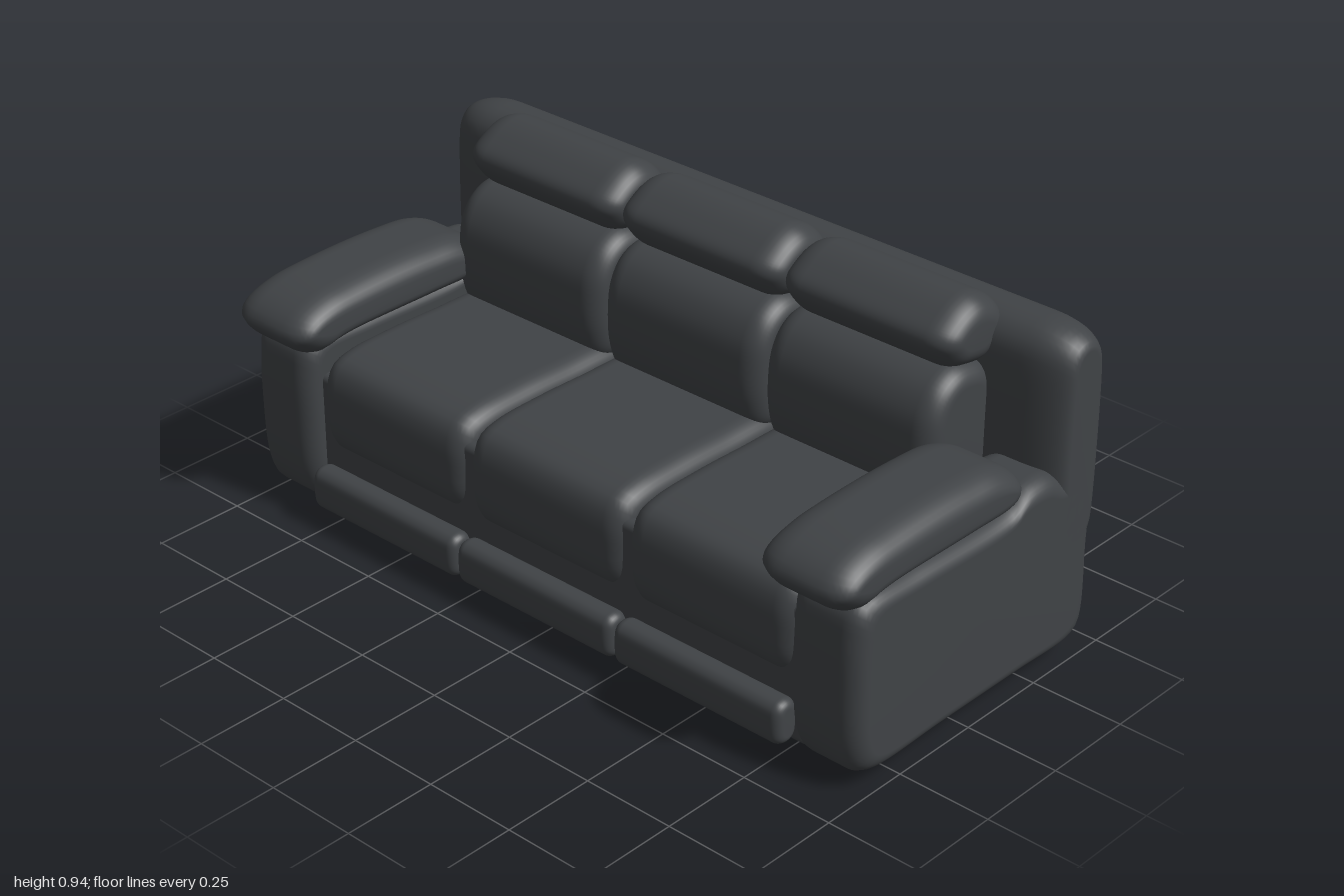
import * as THREE from 'three';
import { RoundedBoxGeometry } from 'three/addons/geometries/RoundedBoxGeometry.js';

const leather = new THREE.MeshStandardMaterial({ color: 0x404346 });
const black = new THREE.MeshStandardMaterial({ color: 0x131314 });

// Counter-clockwise rounded rectangle in (z, y)
function roundRect(z0, z1, y0, y1, r) {
  const pts = [];
  const corners = [[z1 - r, y0 + r], [z1 - r, y1 - r], [z0 + r, y1 - r], [z0 + r, y0 + r]];
  corners.forEach(([z, y], c) => {
    for (let k = 0; k <= 3; k++) {
      const a = (c - 1 + k / 3) * Math.PI / 2;
      pts.push([z + r * Math.cos(a), y + r * Math.sin(a)]);
    }
  });
  return pts;
}

// Upholstered volume: a smooth side profile swept from x0 to x1, its ends
// rounded off over a length rx, where the section shrinks by inset
function padGeometry(profile, x0, x1, rx, inset, n = 72) {
  const curve = new THREE.CatmullRomCurve3(
    profile.map(([z, y]) => new THREE.Vector3(0, y, z)), true, 'centripetal');
  const ring = curve.getSpacedPoints(n).slice(0, n);
  const box = new THREE.Box3().setFromPoints(ring);
  const mid = box.getCenter(new THREE.Vector3());
  const half = box.getSize(new THREE.Vector3()).multiplyScalar(0.5);

  const stations = [];
  const steps = 8;
  for (let k = 0; k <= steps; k++) {
    const b = k / steps * Math.PI / 2;
    stations.push([rx * (1 - Math.cos(b)), inset * (1 - Math.sin(b))]);
  }
  const rings = [
    ...stations.map(([d, s]) => [x0 + d, s]),
    ...stations.slice().reverse().map(([d, s]) => [x1 - d, s]),
  ];

  const pos = [], idx = [];
  for (const [x, s] of rings) {
    for (const p of ring) {
      pos.push(x,
        mid.y + (p.y - mid.y) * (1 - s / half.y),
        mid.z + (p.z - mid.z) * (1 - s / half.z));
    }
  }
  const last = (rings.length - 1) * n, c0 = rings.length * n, c1 = c0 + 1;
  pos.push(x0, mid.y, mid.z, x1, mid.y, mid.z);
  for (let j = 0; j < n; j++) {
    const k = (j + 1) % n;
    for (let i = 0; i < rings.length - 1; i++) {
      const a = i * n, b = a + n;
      idx.push(a + j, b + j, a + k, b + j, b + k, a + k);
    }
    idx.push(c0, j, k, c1, last + k, last + j);
  }
  const geo = new THREE.BufferGeometry();
  geo.setAttribute('position', new THREE.Float32BufferAttribute(pos, 3));
  geo.setIndex(idx);
  geo.computeVertexNormals();
  return geo;
}

// Side profiles as [z, y]
const armBody = [
  [0.415, 0.3], [0.412, 0.42], [0.4, 0.49], [0.37, 0.51], [0.2, 0.512], [-0.15, 0.515],
  [-0.2, 0.543], [-0.29, 0.545], [-0.35, 0.515], [-0.43, 0.495], [-0.455, 0.45],
  [-0.455, 0.3], [-0.455, 0.1], [-0.44, 0.06], [-0.4, 0.04], [-0.2, 0.04], [0.1, 0.04],
  [0.34, 0.04], [0.38, 0.06], [0.405, 0.12],
];
const armPad = [
  [0.475, 0.55], [0.465, 0.578], [0.43, 0.608], [0.36, 0.633], [0.28, 0.642], [0.12, 0.648],
  [0, 0.645], [-0.1, 0.635], [-0.165, 0.605], [-0.193, 0.57], [-0.185, 0.53], [-0.15, 0.511],
  [0, 0.508], [0.3, 0.506], [0.36, 0.497], [0.4, 0.486], [0.445, 0.51],
];
const seat = [
  [0.385, 0.32], [0.383, 0.4], [0.36, 0.452], [0.3, 0.474], [0.15, 0.482], [0, 0.48],
  [-0.2, 0.472], [-0.26, 0.44], [-0.27, 0.33], [-0.24, 0.22], [-0.1, 0.2], [0.15, 0.2],
  [0.3, 0.2], [0.35, 0.21], [0.378, 0.25],
];
const backCushion = [
  [-0.088, 0.62], [-0.1, 0.69], [-0.135, 0.745], [-0.19, 0.775], [-0.25, 0.775], [-0.31, 0.755],
  [-0.335, 0.7], [-0.335, 0.5], [-0.3, 0.44], [-0.2, 0.43], [-0.12, 0.45], [-0.092, 0.52],
];
const headrest = [
  [-0.137, 0.845], [-0.143, 0.872], [-0.185, 0.908], [-0.225, 0.929], [-0.26, 0.937],
  [-0.295, 0.932], [-0.345, 0.905], [-0.372, 0.865], [-0.36, 0.8], [-0.3, 0.757],
  [-0.24, 0.76], [-0.19, 0.775], [-0.155, 0.81],
];

export function createModel() {
  const sofa = new THREE.Group();
  sofa.name = 'recliningSofa';
  const add = (name, geo, mat = leather) => {
    const mesh = new THREE.Mesh(geo, mat);
    mesh.name = name;
    sofa.add(mesh);
    return mesh;
  };
  const box = (name, w, h, d, r, y, z, mat) =>
    add(name, new RoundedBoxGeometry(w, h, d, 4, r), mat).position.set(0, y, z);

  // Frame between the arms, and the floor plinth
  box('frame', 1.64, 0.37, 0.79, 0.02, 0.225, -0.03, leather);
  box('plinth', 1.72, 0.03, 0.635, 0.006, 0.02, -0.037, black);
  box('plinthCore', 1.2, 0.045, 0.5, 0.006, 0.0225, -0.04, black);

  // Long back shell with softened ends
  add('backShell', padGeometry(roundRect(-0.475, -0.295, 0.285, 0.885, 0.08), -1, 1, 0.13, 0.05));

  // Arms with overstuffed pads
  for (const [side, s] of [['left', 1], ['right', -1]]) {
    const span = (a, b) => s > 0 ? [a, b] : [-b, -a];
    add(side + 'Arm', padGeometry(armBody, ...span(0.79, 1), 0.055, 0.045, 110));
    add(side + 'ArmPad', padGeometry(armPad, ...span(0.735, 1), 0.08, 0.058));
  }

  // Three places, each with seat, back cushion, headrest and footrest
  ['right', 'middle', 'left'].forEach((place, i) => {
    const x = (i - 1) * 0.526;
    const x0 = x - 0.26, x1 = x + 0.26;
    add(place + 'Seat', padGeometry(seat, x0, x1, 0.06, 0.05));
    add(place + 'BackCushion', padGeometry(backCushion, x0, x1, 0.06, 0.05));
    add(place + 'Headrest', padGeometry(headrest, x0, x1, 0.075, 0.06));
    add(place + 'Footrest', padGeometry(roundRect(0.355, 0.427, 0.05, 0.168, 0.032), x0, x1, 0.025, 0.022));
  });

  return sofa;
}
